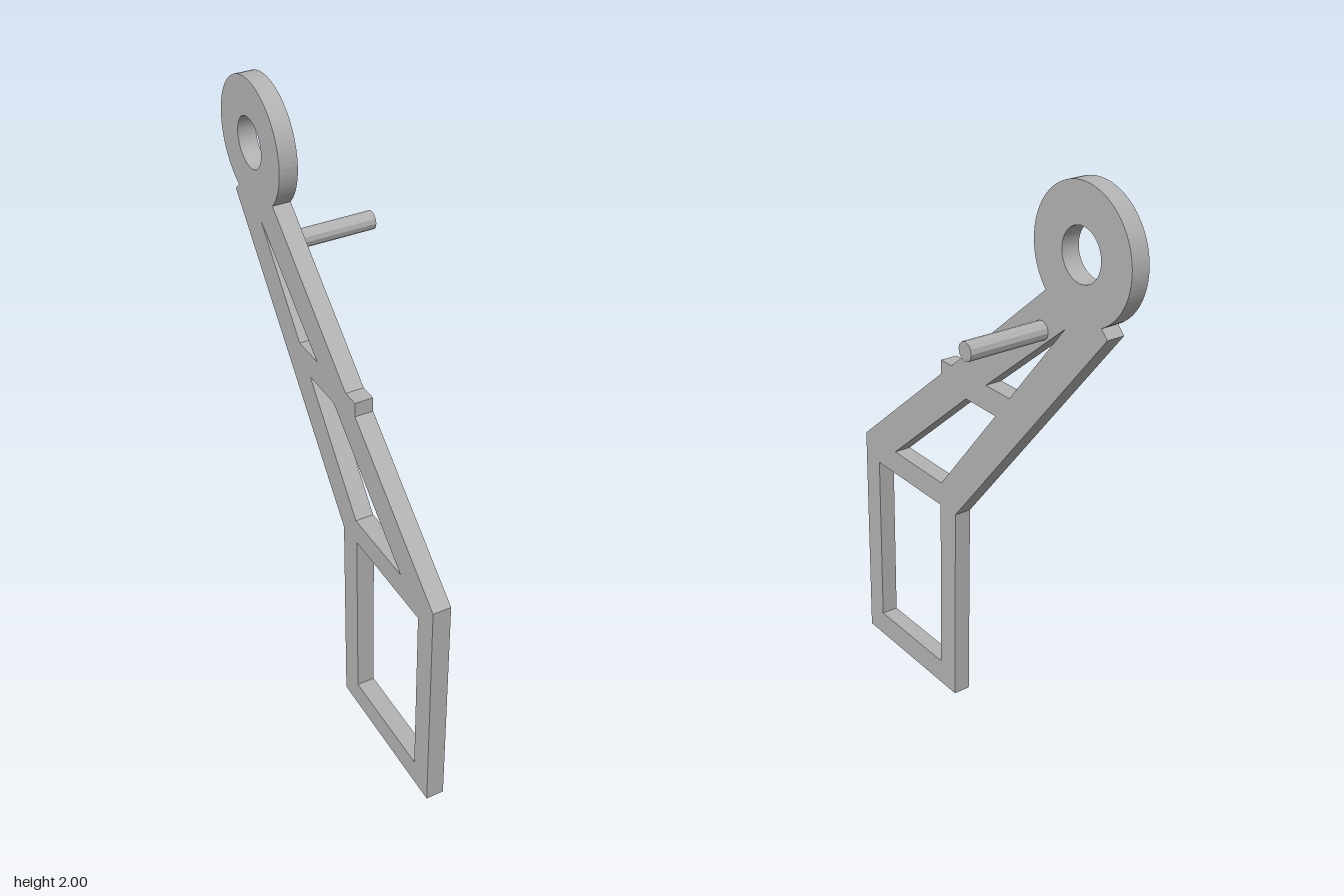
import * as THREE from 'three';

// Closed loop from a few points
const loop = (Type, pts) => new Type(pts.map(([u, y]) => new THREE.Vector2(u, y)));

export function createModel() {
  const group = new THREE.Group();
  const grey = new THREE.MeshStandardMaterial({ color: 0xb4b4b4 });
  grey.name = 'grey';

  const xBack = -0.165, thickness = 0.06;
  const eye = { u: 0.46, y: 1.795, r: 0.205, hole: 0.082 };

  // Side profile, drawn with u = -z: frame, rails, tab and round eye
  const profile = new THREE.Shape();
  profile.moveTo(-0.665, 0);
  profile.lineTo(-0.12, 0);
  profile.lineTo(-0.12, 0.725);
  profile.lineTo(0.583, 1.588);
  profile.lineTo(0.557, 1.613);
  profile.absarc(eye.u, eye.y, eye.r, Math.atan2(-0.182, 0.097), Math.atan2(-0.145, -0.148) + 2 * Math.PI, false);
  profile.lineTo(-0.143, 1.255);
  profile.lineTo(-0.2, 1.255);
  profile.lineTo(-0.2, 1.207);
  profile.lineTo(-0.665, 0.81);
  profile.closePath();

  // Openings: lower window, middle bay, upper bay, eye bore
  const bore = new THREE.Path();
  bore.absarc(eye.u, eye.y, eye.hole, 0, 2 * Math.PI, true);
  profile.holes.push(
    loop(THREE.Path, [[-0.583, 0.09], [-0.583, 0.725], [-0.205, 0.725], [-0.205, 0.09]]),
    loop(THREE.Path, [[-0.478, 0.81], [-0.064, 1.17], [0.09, 1.17], [-0.2, 0.81]]),
    loop(THREE.Path, [[0.04, 1.255], [0.405, 1.562], [0.158, 1.255]]),
    bore
  );

  const plateGeo = new THREE.ExtrudeGeometry(profile, { depth: thickness, bevelEnabled: false, curveSegments: 32 });
  plateGeo.rotateY(Math.PI / 2);
  const plate = new THREE.Mesh(plateGeo, grey);
  plate.name = 'armPlate';
  plate.position.x = xBack;
  group.add(plate);

  // Pin standing out of the plate towards +x
  const pinLength = 0.27;
  const pinGeo = new THREE.CylinderGeometry(0.03, 0.03, pinLength, 12).toNonIndexed();
  pinGeo.computeVertexNormals();
  pinGeo.rotateZ(-Math.PI / 2);
  const pin = new THREE.Mesh(pinGeo, grey);
  pin.name = 'pin';
  pin.position.set(xBack + thickness + pinLength / 2, 1.525, -0.302);
  group.add(pin);

  return group;
}
